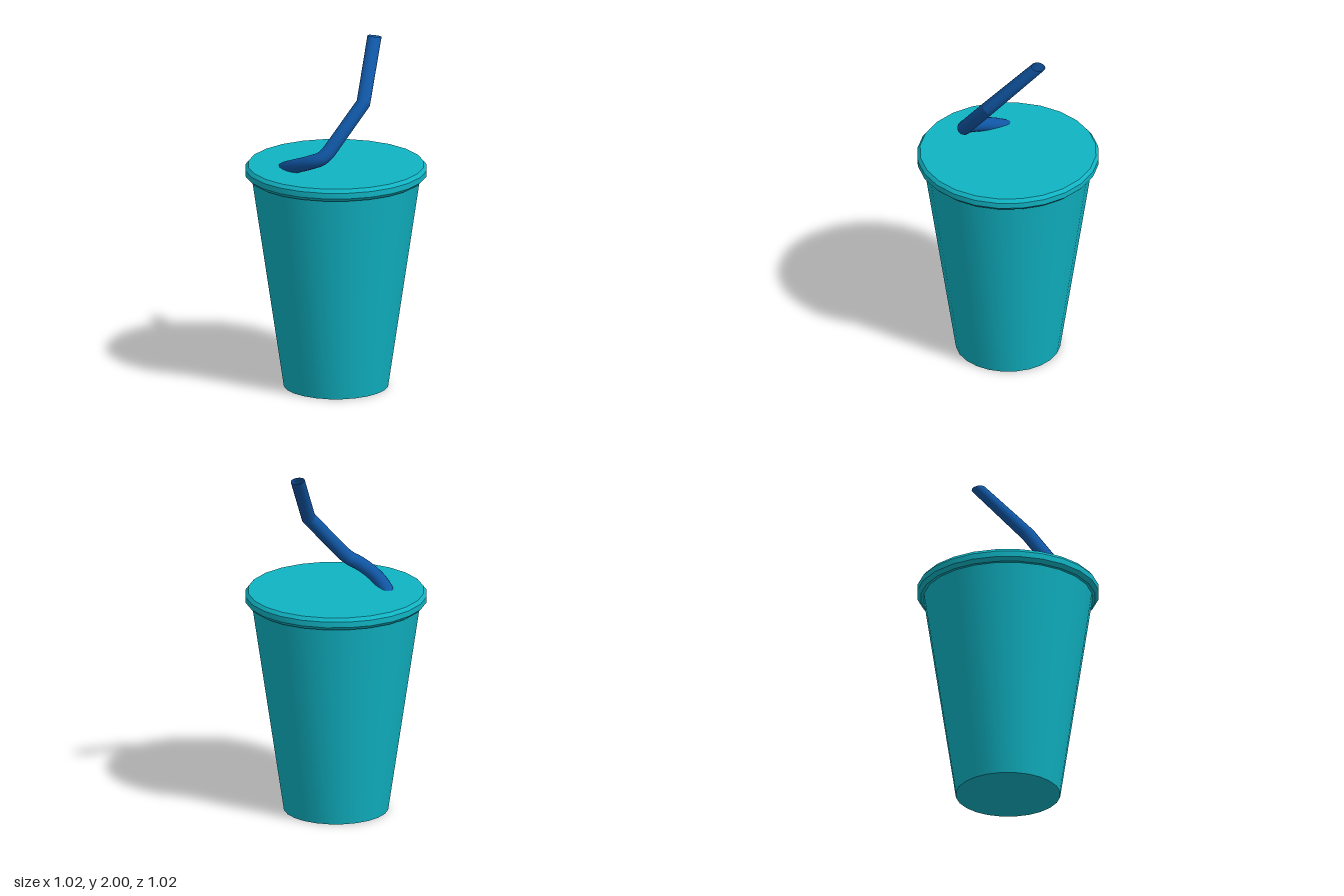
import * as THREE from 'three';
import { toCreasedNormals } from 'three/addons/utils/BufferGeometryUtils.js';

const teal = new THREE.MeshStandardMaterial({ color: 0x10b4c4 });
const blue = new THREE.MeshStandardMaterial({ color: 0x1056a4, side: THREE.DoubleSide });

// Turned part with sharp profile corners; profile runs from bottom to top
function turned(name, profile) {
  const points = profile.map(([r, y]) => new THREE.Vector2(r, y));
  const mesh = new THREE.Mesh(toCreasedNormals(new THREE.LatheGeometry(points, 24), 0.6), teal);
  mesh.name = name;
  return mesh;
}

// Polyline whose rings are mitred at each corner
class BentPath extends THREE.Curve {
  constructor(points, endTangent) {
    super();
    this.points = points;
    this.endTangent = endTangent;
  }
  getPoint(t) {
    const last = this.points.length - 1;
    const i = Math.min(Math.floor(t * last + 1e-6), last - 1);
    return this.points[i].clone().lerp(this.points[i + 1], t * last - i);
  }
  getPointAt(t) {
    return this.getPoint(t);
  }
  getTangentAt(t) {
    const p = this.points, last = p.length - 1, i = Math.round(t * last);
    if (i === last) return this.endTangent.clone().normalize();
    const out = p[i + 1].clone().sub(p[i]).normalize();
    if (i > 0) out.add(p[i].clone().sub(p[i - 1]).normalize());
    return out.normalize();
  }
}

function createStraw() {
  // Curved lower part leaving the lid
  const hook = new THREE.CatmullRomCurve3([
    [-0.13, 1.22, -0.27], [-0.19, 1.265, -0.22], [-0.245, 1.31, -0.12], [-0.265, 1.345, -0.03],
    [-0.262, 1.373, 0.04], [-0.242, 1.395, 0.085], [-0.21, 1.43, 0.11],
  ].map((p) => new THREE.Vector3(...p))).getPoints(18);
  // Straight upper lengths with a single kink, open at the nearly level tip
  const points = [...hook, new THREE.Vector3(0.005, 1.68, 0.19), new THREE.Vector3(0.263, 1.991, 0.07)];
  const path = new BentPath(points, new THREE.Vector3(0.2, 1, 0));
  const tube = new THREE.TubeGeometry(path, points.length - 1, 0.04, 16, false);
  const straw = new THREE.Mesh(toCreasedNormals(tube, 0.45), blue);
  straw.name = 'straw';
  return straw;
}

export function createModel() {
  const model = new THREE.Group();
  model.name = 'drinkCup';
  model.add(
    turned('cup', [[0, 0], [0.295, 0], [0.477, 1.23]]),
    turned('lid', [[0.46, 1.217], [0.492, 1.217], [0.512, 1.237], [0.512, 1.27], [0.496, 1.29], [0, 1.29]]),
    createStraw(),
  );
  return model;
}
